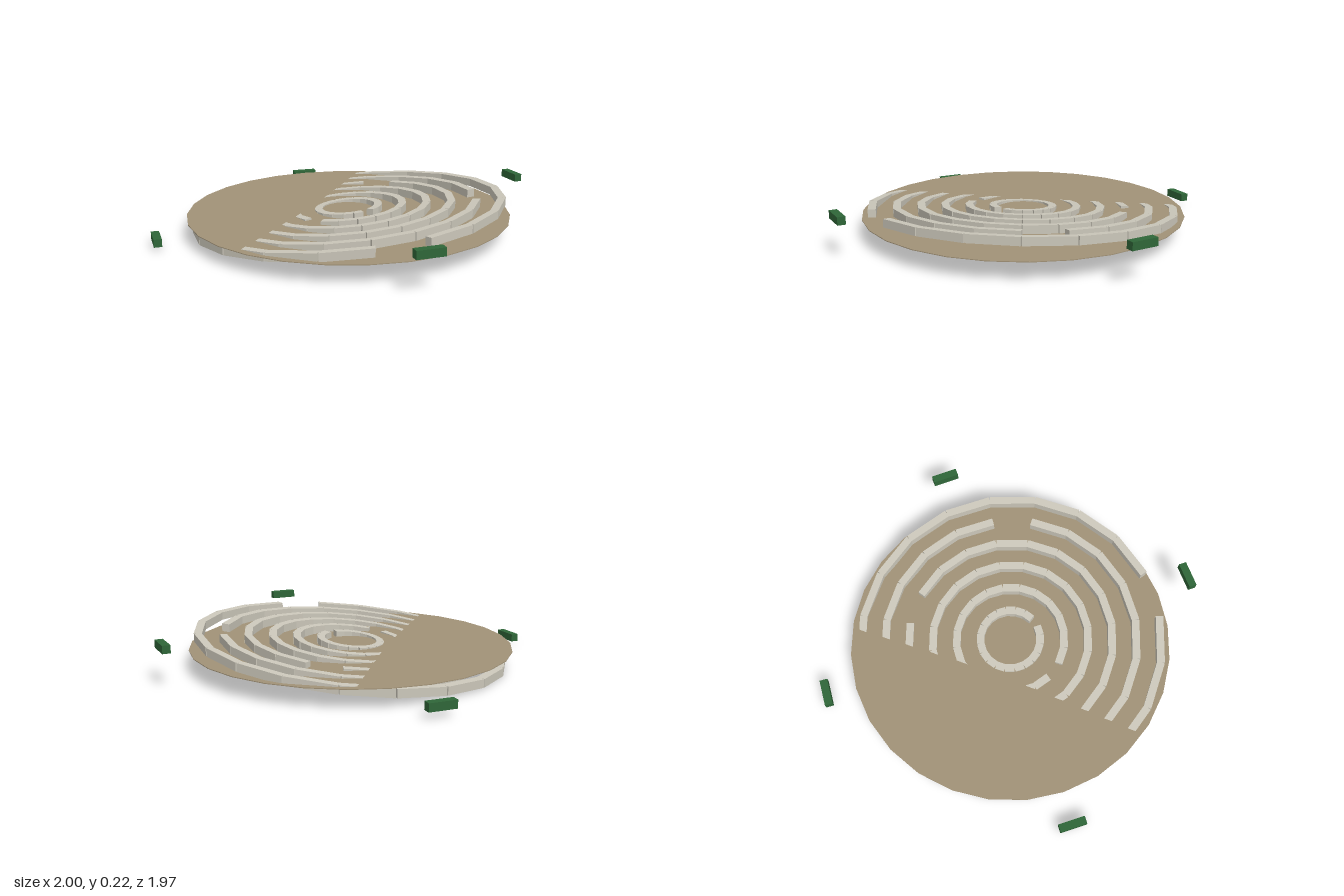
import * as THREE from 'three';

const CX = -0.013, CZ = -0.016;           // shared centre of disc, rings and blocks
const SIDES = 20, STEP = (Math.PI * 2) / SIDES;
const WALL_H = 0.044, WALL_W = 0.042;

// sloping ground the walls follow: height of the wall tops
const wallTop = (x, z, r) => 0.124 + 0.005 * r + 0.042 * x + 0.0905 * z;

const mat = (color) => new THREE.MeshStandardMaterial({ color, flatShading: true });

// one straight wall block between two corners of a ring, sheared to the slope
function wallBlock(radius, k, material) {
  const a = (k + 0.5) * STEP;
  const geo = new THREE.BoxGeometry(2 * radius * Math.sin(STEP / 2), WALL_H, WALL_W);
  const mid = radius * Math.cos(STEP / 2);
  geo.rotateY(a);
  geo.translate(mid * Math.sin(a), 0, mid * Math.cos(a));
  const p = geo.attributes.position;
  for (let i = 0; i < p.count; i++) {
    const top = wallTop(p.getX(i), p.getZ(i), radius);
    p.setY(i, p.getY(i) > 0 ? top : top - WALL_H);
  }
  geo.computeVertexNormals();
  return new THREE.Mesh(geo, material);
}

export function createModel() {
  const model = new THREE.Group();
  const ground = mat(0xa19277), stone = mat(0xcbc7ba), green = mat(0x2f6638);

  // level floor disc
  const floor = new THREE.Mesh(new THREE.CylinderGeometry(0.88, 0.88, 0.004, 28), ground);
  floor.name = 'floorDisc';
  floor.position.set(CX, 0.102, CZ);
  model.add(floor);

  // concentric maze walls, each ring with one block left out as a doorway
  const doorways = [19, 15, 11, 6, 2, 18];
  doorways.forEach((door, i) => {
    const ring = new THREE.Group();
    ring.name = 'mazeRing' + (i + 1);
    ring.position.set(CX, 0, CZ);
    for (let k = 0; k < SIDES; k++) {
      if (k === door) continue;
      const block = wallBlock(0.165 + 0.133 * i, k, stone);
      block.name = 'wallBlock';
      ring.add(block);
    }
    model.add(ring);
  });

  // four hedge blocks around the edge: x, height, z
  [[-0.45, 0.2, 0.93], [0.95, 0.2, 0.39], [0.476, 0.06, -0.938], [-0.95, 0.041, -0.476]].forEach(([x, y, z]) => {
    const hedge = new THREE.Mesh(new THREE.BoxGeometry(0.145, 0.042, 0.042), green);
    hedge.name = 'hedgeBlock';
    hedge.position.set(x, y, z);
    hedge.rotation.y = Math.atan2(x - CX, z - CZ);
    model.add(hedge);
  });

  return model;
}
